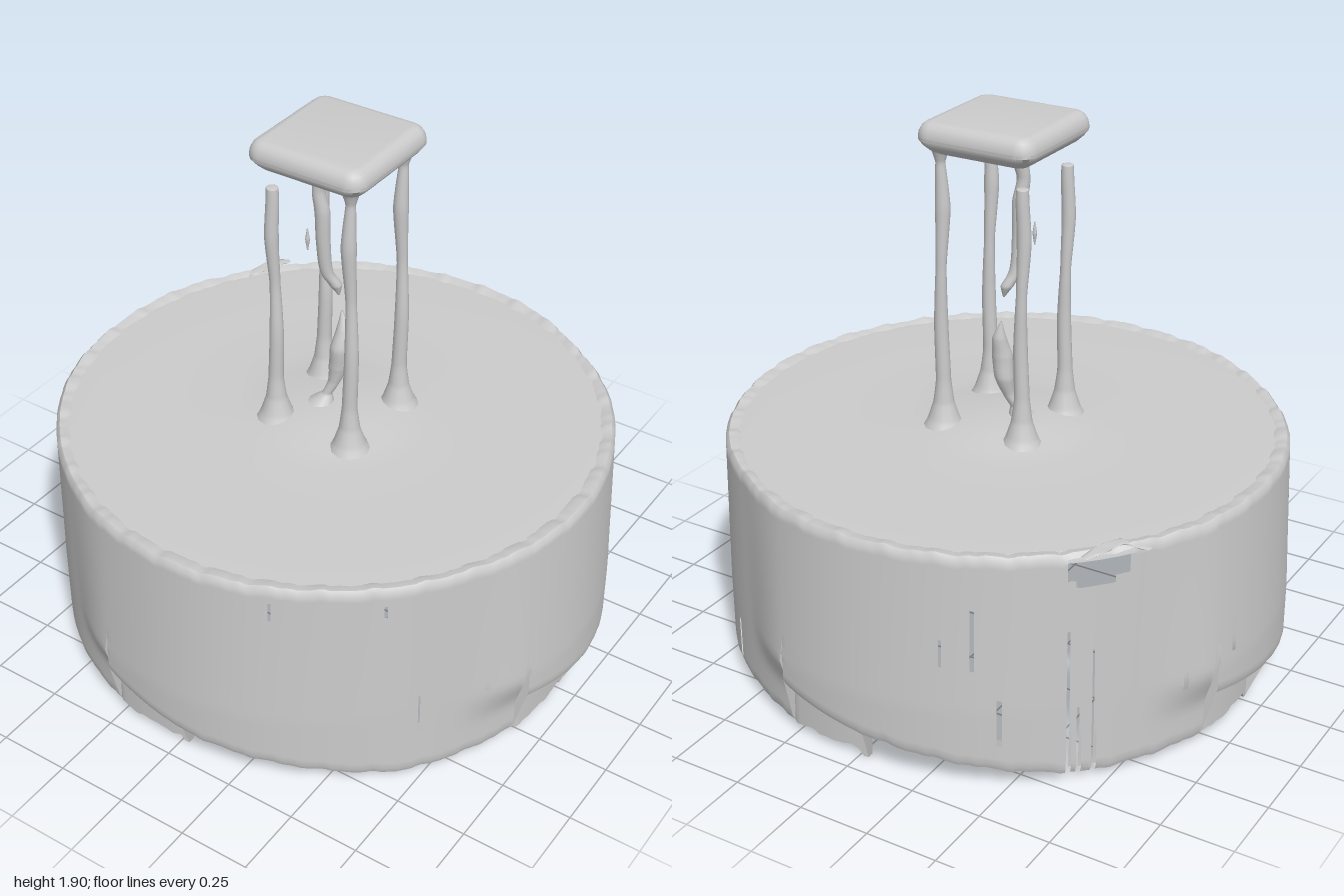
import * as THREE from 'three';
import { toCreasedNormals } from 'three/addons/utils/BufferGeometryUtils.js';

const material = new THREE.MeshStandardMaterial({ color: 0xcccccc, side: THREE.DoubleSide });
const RAD = Math.PI / 180;
const { lerp, smoothstep } = THREE.MathUtils;

// Worn openings in the wall: [start angle, end angle, low y, high y]
const OPENINGS = [
  [115, 117, 0.43, 0.75], [122, 124, 0.43, 0.73], [138, 139, 0.06, 0.2],
  [198, 199, 0.43, 0.55], [204, 205, 0.43, 0.66], [209, 210, 0.18, 0.34],
  [222, 223, 0.0, 0.56], [224, 225, 0.0, 0.3], [227, 228, 0.0, 0.5],
  [246, 247, 0.26, 0.46], [258, 259, 0.33, 0.45], [222, 235, 0.73, 0.81], [224, 232, 0.69, 0.74],
  [304, 305, 0.26, 0.4], [50, 51, 0.22, 0.37], [64, 65, 0.3, 0.4],
  [21, 22, 0.69, 0.77], [43, 44, 0.7, 0.77], [290, 291, 0.6, 0.76],
];
const isOpen = (a, y) => OPENINGS.some(([a0, a1, y0, y1]) => a >= a0 && a < a1 && y > y0 && y < y1);

// Small uneven wobble, periodic around the drum
const ragged = (a) => 0.5 * Math.sin(a * RAD * 37) + 0.3 * Math.sin(a * RAD * 71 + 1) + 0.2 * Math.sin(a * RAD * 113 + 2);

// Cross-section of the wall at one angle: down the outside, over the ledge, up the inside
function wallSection(deg) {
  const u = (deg + 16 + 360) % 90; // position along one of four overlapping wraps
  const overlap = u < 19;
  const fade = 1 - smoothstep(u, 10, 85);
  const rise = smoothstep(u, 72, 90); // the next wrap swells in above its ledge
  const radius = (y) => 0.955 + 0.002 * Math.sin(deg * RAD * 9)
    + 0.041 * (fade + rise * smoothstep(y, 0.14, 0.3)) * Math.min(1, 0.3 + (0.83 - y) * 1.3);
  const low = 0.033 + 0.008 * ragged(deg) - (u > 16 ? 0.022 : 0);
  const edge = overlap ? 0.2 - 0.06 * u / 19
    : 0.14 - 0.105 * Math.min(1, (u - 19) / 43) + 0.006 * ragged(deg);
  const bottom = overlap ? low : edge;
  const top = 0.834 + 0.006 * ragged(deg);
  const pts = [[0.9, 0.82], [0.925, top - 0.003], [radius(top) - 0.012, top]];
  const rows = 30;
  for (let k = 0; k <= rows; k++) {
    const y = lerp(top - 0.015, edge + 0.02, k / rows);
    pts.push([radius(y), y]);
  }
  // The inner end of each wrap curls slightly inwards under the next one
  const foot = overlap ? lerp(0.953, 0.928, u / 19) : radius(edge) - 0.008;
  pts.push([radius(edge) - 0.008, edge]);
  for (let k = 0; k <= 4; k++) pts.push([foot - 0.002, lerp(edge, bottom, k / 4)]);
  for (let k = 0; k <= rows; k++) {
    const y = lerp(bottom, 0.8, k / rows);
    pts.push([lerp(foot, radius(y), smoothstep(y, edge, edge + 0.15)) - 0.027, y]);
  }
  return pts;
}

function buildGeometry(pos, index) {
  const g = new THREE.BufferGeometry();
  g.setAttribute('position', new THREE.Float32BufferAttribute(pos, 3));
  g.setIndex(index);
  return g;
}

function wallGeometry() {
  const pos = [], index = [], sections = [];
  for (let a = 0; a < 360; a++) sections.push(wallSection(a));
  const n = sections[0].length;
  sections.forEach((s, a) => s.forEach(([r, y]) => pos.push(r * Math.sin(a * RAD), y, r * Math.cos(a * RAD))));
  for (let a = 0; a < 360; a++) {
    const b = (a + 1) % 360;
    for (let j = 0; j < n - 1; j++) {
      if (isOpen(a, (sections[a][j][1] + sections[a][j + 1][1]) / 2)) continue;
      const p = a * n + j, q = b * n + j;
      index.push(p, p + 1, q + 1, p, q + 1, q);
    }
  }
  return toCreasedNormals(buildGeometry(pos, index), 0.8);
}

// Round rod with changing radius along a bent line: points are [x, y, z, radius]
function rodGeometry(points, sides = 12) {
  const curve = new THREE.CatmullRomCurve3(points.map(([x, y, z]) => new THREE.Vector3(x, y, z)));
  const steps = points.length * 8, last = points.length - 1;
  const pos = [], index = [];
  for (let i = 0; i <= steps; i++) {
    const t = i / steps, c = curve.getPoint(t);
    const k = Math.min(last - 1, Math.floor(t * last));
    const r = lerp(points[k][3], points[k + 1][3], t * last - k);
    for (let s = 0; s < sides; s++) {
      const a = s / sides * Math.PI * 2;
      pos.push(c.x + r * Math.sin(a), c.y, c.z + r * Math.cos(a));
      if (i === steps) continue;
      const p = i * sides + s, q = i * sides + (s + 1) % sides;
      index.push(p, q, q + sides, p, q + sides, p + sides);
    }
  }
  const g = buildGeometry(pos, index);
  g.computeVertexNormals();
  return g;
}

// Rounded square plate, narrowing towards its underside
function capGeometry() {
  const h = 0.175, c = 0.02;
  const square = new THREE.Shape();
  square.moveTo(-h + c, -h);
  square.lineTo(h - c, -h).quadraticCurveTo(h, -h, h, -h + c);
  square.lineTo(h, h - c).quadraticCurveTo(h, h, h - c, h);
  square.lineTo(-h + c, h).quadraticCurveTo(-h, h, -h, h - c);
  square.lineTo(-h, -h + c).quadraticCurveTo(-h, -h, -h + c, -h);
  const g = new THREE.ExtrudeGeometry(square, {
    depth: 0.01, bevelThickness: 0.05, bevelSize: 0.042, bevelSegments: 4, curveSegments: 5,
  });
  g.rotateX(-Math.PI / 2);
  const p = g.attributes.position;
  for (let i = 0; i < p.count; i++) {
    const k = 1 + Math.min(0, p.getY(i)) * 2.5;
    p.setXYZ(i, p.getX(i) * k, p.getY(i), p.getZ(i) * k);
  }
  return toCreasedNormals(g, 0.7);
}

export function createModel() {
  const model = new THREE.Group();
  const add = (name, geometry) => {
    const mesh = new THREE.Mesh(geometry, material);
    mesh.name = name;
    model.add(mesh);
    return mesh;
  };

  // Hollow drum, open underneath, with a low mound between the posts
  add('drumWall', wallGeometry());
  const lid = [[0, 0.768], [0.5, 0.768], [0.9, 0.772], [0.935, 0.79], [0.93, 0.81], [0.92, 0.826], [0.85, 0.829],
    [0.6, 0.826], [0.35, 0.829], [0.26, 0.836], [0.17, 0.853], [0, 0.86]].map(([r, y]) => new THREE.Vector2(r, y));
  add('drumTop', toCreasedNormals(new THREE.LatheGeometry(lid, 96), 0.6));
  add('undersideStub', rodGeometry([[0, 0.42, 0, 0.005], [0, 0.43, 0, 0.035], [0, 0.5, 0, 0.045],
    [0, 0.65, 0, 0.035], [0, 0.78, 0, 0.05]]));
  // Torn scrap beside the opening in the rim
  add('rimScrap', rodGeometry([[-0.8, 0.81, -0.51, 0.02], [-0.74, 0.835, -0.56, 0.02],
    [-0.715, 0.84, -0.64, 0.025], [-0.69, 0.83, -0.69, 0.015]], 8));

  // Four slender posts with flared feet; the two at -x are broken short
  const posts = [[0.165, 0.16, 1.82], [0.165, -0.145, 1.82], [-0.14, 0.15, 1.73], [-0.14, -0.14, 1.73]];
  posts.forEach(([x, z, top], i) => {
    const whole = top > 1.8;
    const height = (t) => 1 + (top - 1) * t;
    add('post' + (i + 1), rodGeometry([
      [x, 0.825, z, 0.075], [x, 0.86, z, 0.056], [x, 0.92, z, 0.036], [x, 1.0, z, 0.026],
      [x + 0.006, height(0.25), z, 0.024], [x, height(0.5), z - 0.005, 0.018],
      [x - 0.004, height(0.75), z + 0.004, whole ? 0.026 : 0.024],
      [x, height(0.94), z, whole ? 0.016 : 0.022], [x, top, z, whole ? 0.035 : 0.02],
      [x, top + 0.002, z, 0.001],
    ]));
  });

  add('cap', capGeometry()).position.set(0.015, 1.85, 0.005);

  // Hanging wick and the flame below it
  add('hangingWick', rodGeometry([[0.005, 1.29, -0.015, 0.003], [-0.005, 1.33, -0.01, 0.022],
    [-0.025, 1.38, 0.01, 0.022], [-0.03, 1.5, 0.025, 0.024], [-0.03, 1.62, 0.03, 0.026],
    [-0.04, 1.7, 0.035, 0.022], [-0.03, 1.77, 0.025, 0.028], [-0.03, 1.82, 0.02, 0.045]]));
  add('flame', rodGeometry([[-0.05, 0.85, 0.02, 0.05], [-0.03, 0.89, 0.005, 0.018], [-0.01, 0.94, -0.01, 0.022],
    [0.0, 1.0, -0.02, 0.034], [0.008, 1.08, -0.02, 0.036], [0.01, 1.15, -0.035, 0.024], [0.0, 1.21, -0.04, 0.003]]));
  add('spark', rodGeometry([[-0.075, 1.47, 0.05, 0.002], [-0.075, 1.51, 0.05, 0.008], [-0.075, 1.55, 0.05, 0.002]], 6));
  return model;
}
